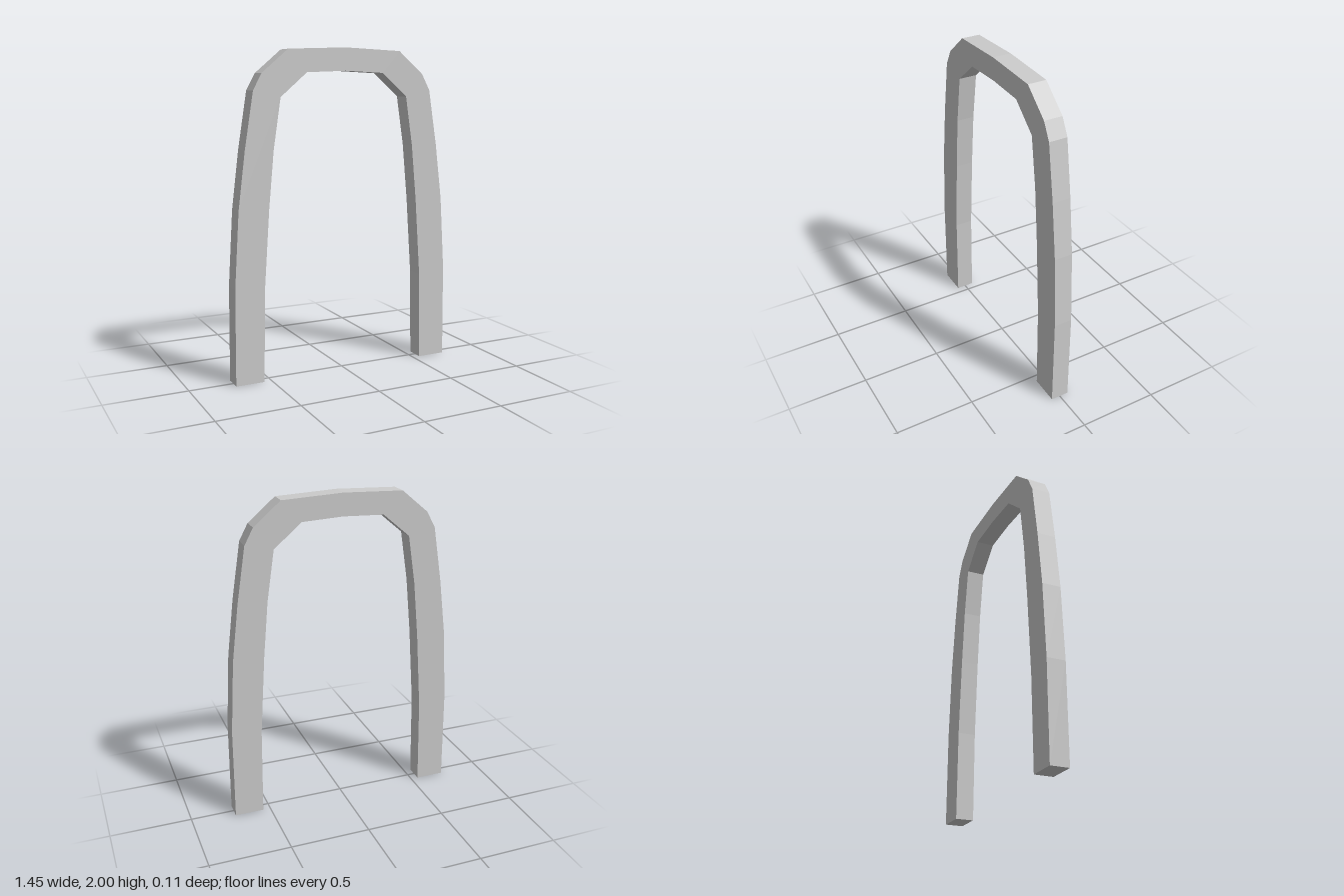
import * as THREE from 'three';

// Half outlines of the arch, from the foot up to the crown
const OUTER = [[0.727, 0], [0.722, 0.59], [0.693, 1.05], [0.649, 1.4], [0.593, 1.745], [0.539, 1.845], [0.373, 1.985], [0, 2]];
const INNER = [[0.547, 0], [0.537, 0.56], [0.503, 1.05], [0.47, 1.4], [0.423, 1.707], [0.254, 1.851], [0, 1.862]];
const DEPTH = 0.114;

// Completes a half outline with its mirror image, running from +x to -x
function mirrored(half) {
  const other = half.slice(0, -1).reverse().map(([x, y]) => [-x, y]);
  return [...half, ...other].map(([x, y]) => new THREE.Vector2(x, y));
}

export function createModel() {
  const group = new THREE.Group();
  group.name = 'archFrame';

  // Flat bar bent into an arch: outer edge over, inner edge back
  const shape = new THREE.Shape([...mirrored(OUTER), ...mirrored(INNER).reverse()]);
  const geometry = new THREE.ExtrudeGeometry(shape, { depth: DEPTH, bevelEnabled: false });
  geometry.translate(0, 0, -DEPTH / 2);

  const arch = new THREE.Mesh(geometry, new THREE.MeshStandardMaterial({ color: 0xcccccc, flatShading: true }));
  arch.name = 'arch';
  group.add(arch);
  return group;
}
